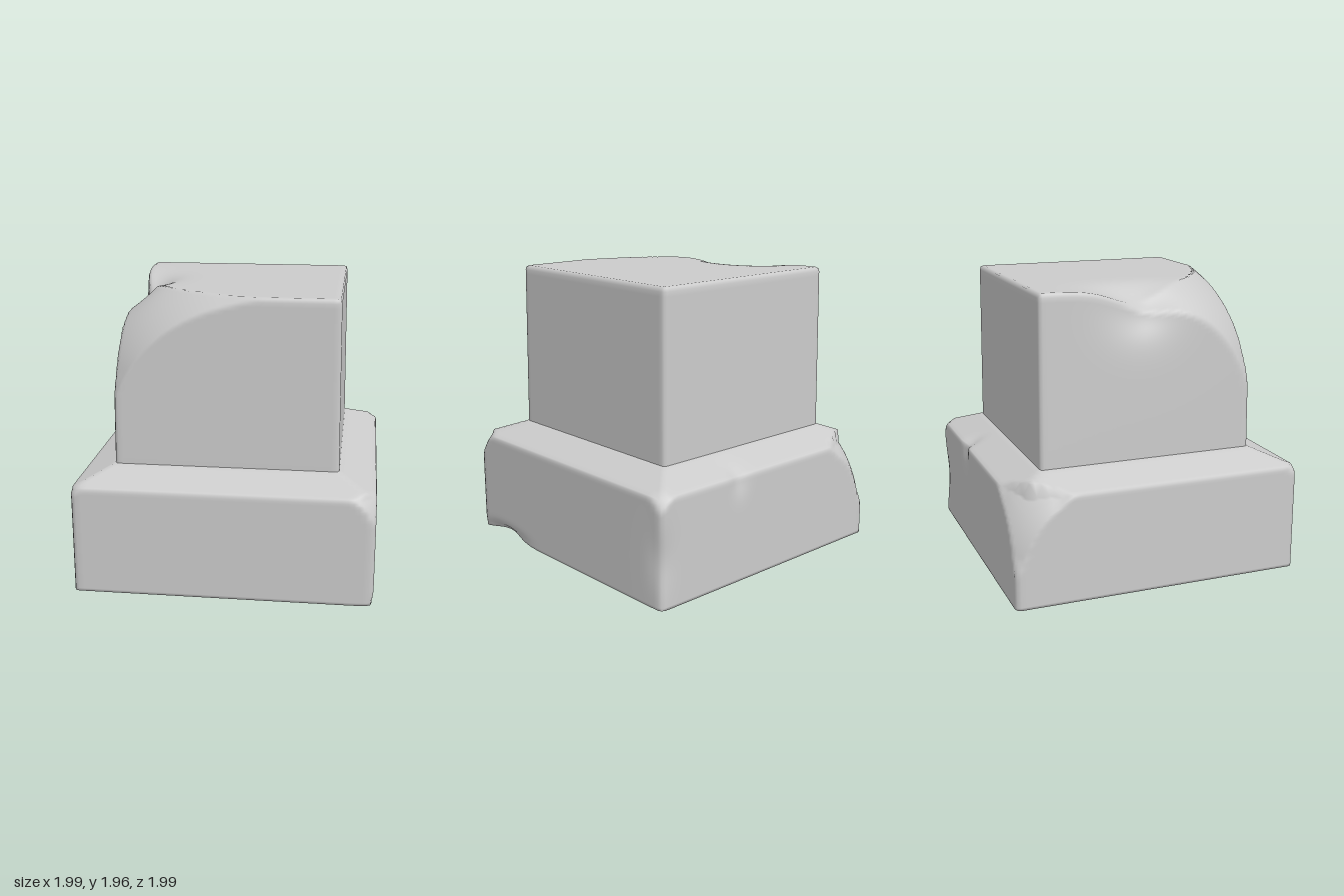
import * as THREE from 'three';
import { mergeVertices } from 'three/addons/utils/BufferGeometryUtils.js';

const clamp = THREE.MathUtils.clamp;

// Dense box standing at y0, softened at its vertical and top edges, then worn by a rule
function stoneBlock(name, half, y0, y1, radius, deform) {
  const n = 56, h = y1 - y0;
  let geo = new THREE.BoxGeometry(half * 2, h, half * 2, n, 40, n);
  geo.translate(0, y0 + h / 2, 0);
  geo.deleteAttribute('uv');
  geo.deleteAttribute('normal');
  geo = mergeVertices(geo);
  const pos = geo.attributes.position;
  const p = new THREE.Vector3(), core = new THREE.Vector3();
  const inner = half - radius;
  for (let i = 0; i < pos.count; i++) {
    p.fromBufferAttribute(pos, i);
    core.set(clamp(p.x, -inner, inner), Math.min(p.y, y1 - radius), clamp(p.z, -inner, inner));
    p.sub(core);
    if (p.length() > radius) p.setLength(radius);
    p.add(core);
    deform(p);
    pos.setXYZ(i, p.x, p.y, p.z);
  }
  geo.computeVertexNormals();
  const mesh = new THREE.Mesh(geo, new THREE.MeshStandardMaterial({ color: 0xcccccc }));
  mesh.name = name;
  return mesh;
}

// Rounds off one corner over the given reach while leaving its far edges crisp
function wearCorner(p, corner, reach, limit = 2) {
  const q = ['x', 'y', 'z'].map((k, i) => Math.max(0, 1 - Math.abs(p[k] - corner[i]) / reach[i]));
  const fade = Math.min(1, Math.min(...q) * 3);
  const max = 2 - (2 - limit) * fade;
  const sum = q[0] ** 2 + q[1] ** 2 + q[2] ** 2;
  if (sum <= max) return;
  const s = Math.sqrt(max / sum);
  ['x', 'y', 'z'].forEach((k, i) => {
    if (q[i] > 0) p[k] = corner[i] - Math.sign(corner[i]) * reach[i] * (1 - q[i] * s);
  });
}

// Soft local dent pushed along a direction
function dent(p, centre, size, push) {
  const d = ((p.x - centre[0]) / size[0]) ** 2 + ((p.y - centre[1]) / size[1]) ** 2
    + ((p.z - centre[2]) / size[2]) ** 2;
  const f = Math.exp(-d);
  p.x += push[0] * f;
  p.y += push[1] * f;
  p.z += push[2] * f;
}

export function createModel() {
  const group = new THREE.Group();
  group.name = 'wornStonePillar';

  // Wide base block with a sloping shoulder
  group.add(stoneBlock('base', 0.995, 0.005, 0.745, 0.035, (p) => {
    const edge = Math.max(Math.abs(p.x), Math.abs(p.z));
    if (p.y > 0.744) p.y += 0.088 * clamp((0.96 - edge) / 0.215, 0, 1);
    // Rubbed corners
    wearCorner(p, [-0.995, 0.745, -0.995], [0.45, 0.6, 0.45], 1.8);
    wearCorner(p, [0.995, 0.745, 0.995], [0.25, 0.3, 0.25]);
    wearCorner(p, [-0.995, 0.745, 0.995], [0.15, 0.15, 0.15]);
    wearCorner(p, [0.995, 0.745, -0.995], [0.2, 0.2, 0.2]);
    // Chips at the lower right edge, back rim and back right upright
    dent(p, [0.995, 0.0, 0.72], [0.08, 0.06, 0.2], [-0.05, 0.035, 0]);
    dent(p, [0.3, 0.74, -0.995], [0.07, 0.12, 0.1], [0, -0.015, 0.03]);
    dent(p, [0.995, 0.32, -0.995], [0.1, 0.2, 0.1], [-0.02, 0, 0.02]);
  }));

  // Upper block, tapering slightly, with the front corner on the -x side worn away
  group.add(stoneBlock('upperBlock', 0.746, 0.78, 1.965, 0.025, (p) => {
    wearCorner(p, [-0.746, 1.965, 0.746], [1.1, 0.78, 1.05], 1.95);
    dent(p, [-0.746, 1.965, -0.02], [0.22, 0.28, 0.28], [0.08, -0.12, 0]);
    const taper = 1 - 0.014 * clamp((p.y - 0.83) / 1.13, 0, 1);
    p.x *= taper;
    p.z *= taper;
  }));

  return group;
}
